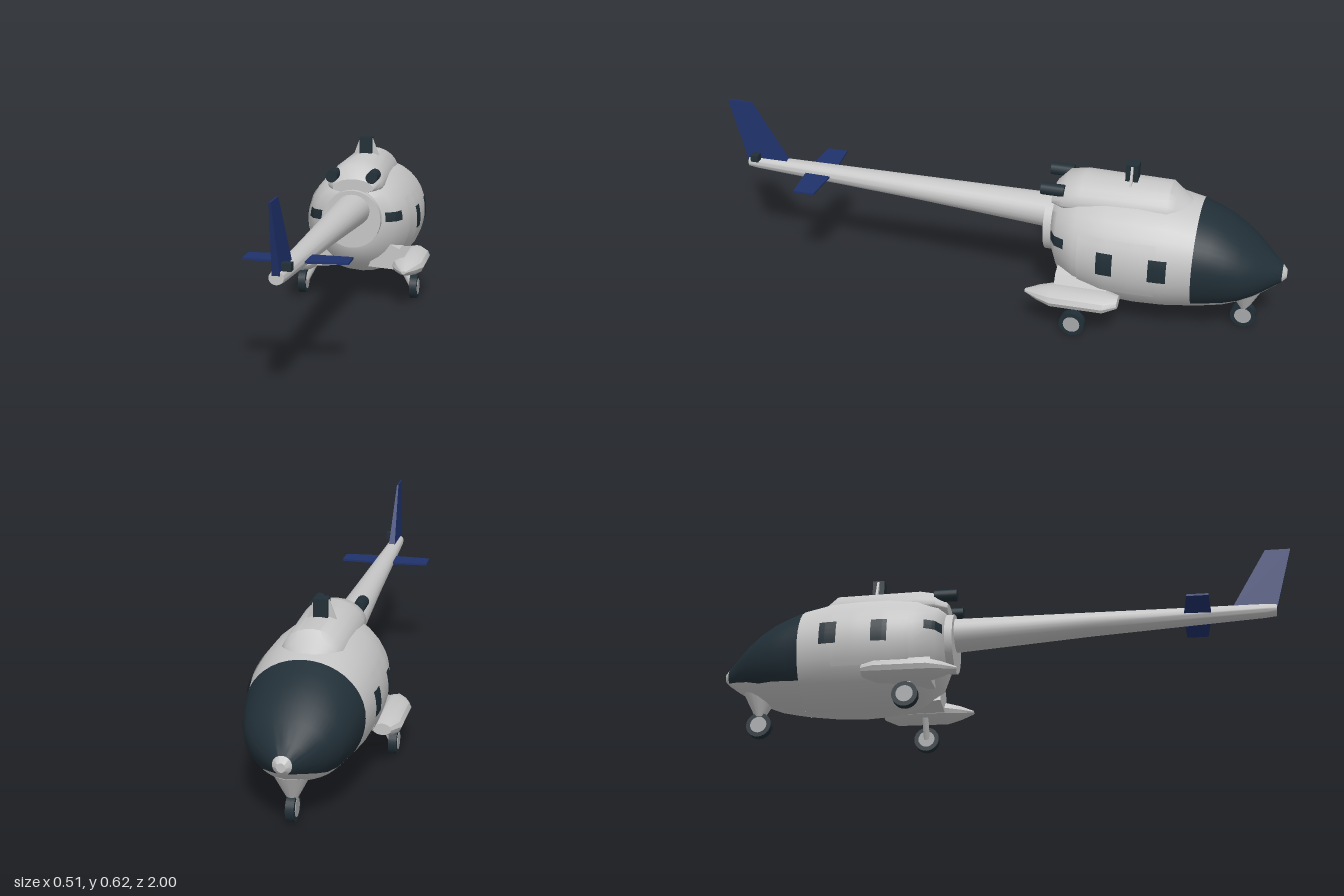
import * as THREE from 'three';
import { toCreasedNormals } from 'three/addons/utils/BufferGeometryUtils.js';

const mat = (name, color, side = THREE.FrontSide) => {
  const m = new THREE.MeshStandardMaterial({ color, side });
  m.name = name;
  return m;
};

export function createModel() {
  const group = new THREE.Group();
  const light = mat('hull grey', 0xc6c6c6, THREE.DoubleSide);
  const dark = mat('dark glass and rubber', 0x212f37, THREE.DoubleSide);
  const blue = mat('tail blue', 0x20326c);
  const hub = mat('hub grey', 0xa6a8aa);

  const add = (name, geometry, material, x = 0, y = 0, z = 0) => {
    const m = new THREE.Mesh(geometry, material);
    m.name = name;
    m.position.set(x, y, z);
    group.add(m);
    return m;
  };

  // Grid surface from a point function, u and v running 0..1
  function grid(nu, nv, point, crease = 0.7) {
    const pos = [], index = [];
    for (let i = 0; i <= nu; i++)
      for (let j = 0; j <= nv; j++) pos.push(...point(i / nu, j / nv, i));
    for (let i = 0; i < nu; i++)
      for (let j = 0; j < nv; j++) {
        const a = i * (nv + 1) + j, c = a + nv + 1;
        index.push(a, a + 1, c, a + 1, c + 1, c);
      }
    const g = new THREE.BufferGeometry();
    g.setAttribute('position', new THREE.Float32BufferAttribute(pos, 3));
    g.setIndex(index);
    return toCreasedNormals(g, crease);
  }

  // Cross-section: [z, half width, bottom y, widest y, top y]
  const ringPoint = ([z, w, yb, ym, yt], a) => {
    const s = Math.sin(a);
    return [w * Math.cos(a), ym + s * (s > 0 ? yt - ym : ym - yb), z];
  };
  // Loft through sections; range gives the start and end angle of each one
  const loft = (secs, sides = 32, range = () => [0, Math.PI * 2], crease = 0.7) =>
    grid(secs.length - 1, sides, (u, v, i) => {
      const [a, b] = range(secs[i]);
      return ringPoint(secs[i], a + (b - a) * v);
    }, crease);
  // Close both ends of a section list with flat caps
  const capped = (secs) => {
    const end = ([z, , , ym]) => [z, 0, ym, ym, ym];
    return [end(secs[0]), ...secs, end(secs[secs.length - 1])];
  };

  // Fuselage
  const hull = [
    [-1.0, 0.014, 0.215, 0.23, 0.245], [-0.985, 0.03, 0.2, 0.232, 0.262],
    [-0.95, 0.068, 0.175, 0.24, 0.29], [-0.9, 0.117, 0.145, 0.25, 0.335],
    [-0.85, 0.15, 0.122, 0.26, 0.375], [-0.8, 0.169, 0.102, 0.27, 0.408],
    [-0.75, 0.18, 0.091, 0.276, 0.432], [-0.7, 0.189, 0.082, 0.28, 0.452],
    [-0.6, 0.203, 0.07, 0.28, 0.475], [-0.5, 0.207, 0.066, 0.28, 0.48],
    [-0.4, 0.204, 0.072, 0.28, 0.48], [-0.3, 0.186, 0.1, 0.29, 0.47],
    [-0.23, 0.15, 0.145, 0.31, 0.445], [-0.205, 0.105, 0.205, 0.315, 0.425],
  ];
  add('noseTip', loft(capped(hull.slice(0, 2)).slice(0, 3)), light);
  add('cabin', loft([...hull.slice(7), [-0.205, 0, 0.315, 0.315, 0.315]]), light);

  // Windscreen and chin share one surface, split along a rising lower edge
  const lowAngle = ([z, , yb, ym]) => {
    const y = z > -0.85 ? 0.16 - (z + 0.85) * 0.087 : 0.16 + (-0.85 - z) * 0.33;
    return Math.asin(Math.max(-1, Math.min(1, (y - ym) / (ym - yb))));
  };
  const front = hull.slice(1, 8);
  add('windscreen', loft(front, 32, (s) => [lowAngle(s), Math.PI - lowAngle(s)]), dark);
  add('chin', loft(front, 16, (s) => [Math.PI - lowAngle(s), Math.PI * 2 + lowAngle(s)]), light);

  // Doors and windows are thin skins following the hull side
  const hullX = (z, y) => {
    let i = 0;
    while (i < hull.length - 2 && hull[i + 1][0] < z) i++;
    const t = (z - hull[i][0]) / (hull[i + 1][0] - hull[i][0]);
    const [, w, yb, ym, yt] = hull[i].map((v, k) => v + (hull[i + 1][k] - v) * t);
    const h = (y - ym) / (y > ym ? yt - ym : ym - yb);
    return w * Math.sqrt(Math.max(0, 1 - h * h));
  };
  const skin = (name, side, z0, z1, y0, y1, off, material) =>
    add(name, grid(16, 10, (u, v) => {
      const z = z0 + (z1 - z0) * u;
      const y = side > 0 ? y0 + (y1 - y0) * v : y1 + (y0 - y1) * v;
      return [side * (hullX(z, y) + off), y, z];
    }), material);
  for (const [label, s] of [['left', 1], ['right', -1]]) {
    skin(label + 'Door', s, -0.58, -0.315, 0.175, 0.375, 0.003, light);
    skin(label + 'FrontWindow', s, -0.62, -0.56, 0.25, 0.332, 0.006, dark);
    skin(label + 'MiddleWindow', s, -0.44, -0.385, 0.25, 0.332, 0.006, dark);
    skin(label + 'RearWindow', s, -0.265, -0.21, 0.305, 0.34, 0.004, dark);
  }

  // Engine cowling
  add('cowling', loft(capped([
    [-0.68, 0.05, 0.4, 0.42, 0.45], [-0.62, 0.088, 0.4, 0.43, 0.492],
    [-0.595, 0.1, 0.4, 0.43, 0.515], [-0.3, 0.105, 0.4, 0.43, 0.518],
    [-0.24, 0.1, 0.4, 0.43, 0.505], [-0.2, 0.075, 0.41, 0.425, 0.46],
  ]), 24), light);

  // Rotor mast with thin side braces
  add('mast', new THREE.BoxGeometry(0.046, 0.07, 0.042), dark, 0, 0.539, -0.46);
  const brace = new THREE.Shape([[-0.048, 0.505], [0.048, 0.505], [0.024, 0.57], [-0.024, 0.57]]
    .map(([x, y]) => new THREE.Vector2(x, y)));
  add('mastBrace', new THREE.ExtrudeGeometry(brace, { depth: 0.008, bevelEnabled: false }), light, 0, 0, -0.465);

  // Tail boom and its round collar
  add('boomCollar', new THREE.CylinderGeometry(0.105, 0.105, 0.06, 36).rotateX(Math.PI / 2), light, 0, 0.317, -0.208);
  add('tailBoom', loft(capped([
    [-0.2, 0.066, 0.29, 0.35, 0.408], [0.3, 0.046, 0.325, 0.366, 0.407],
    [0.9, 0.026, 0.358, 0.382, 0.405], [0.935, 0.023, 0.362, 0.383, 0.403],
  ]), 24), light);

  // Tail fin, tapered from root to tip
  const fin = new THREE.BoxGeometry(1, 1, 1);
  const fp = fin.attributes.position;
  for (let i = 0; i < fp.count; i++) {
    const top = fp.getY(i) > 0, aft = fp.getZ(i) > 0;
    fp.setXYZ(i, Math.sign(fp.getX(i)) * (top ? 0.003 : 0.012), top ? 0.617 : 0.39,
      top ? (aft ? 1.0 : 0.912) : (aft ? 0.938 : 0.782));
  }
  fin.computeVertexNormals();
  add('tailFin', fin, blue);

  // Horizontal stabiliser, narrower at the tips
  const stab = new THREE.BoxGeometry(0.33, 0.007, 0.096, 2, 1, 1);
  const sp = stab.attributes.position;
  for (let i = 0; i < sp.count; i++)
    if (Math.abs(sp.getX(i)) > 0.1) sp.setZ(i, sp.getZ(i) * 0.78);
  stab.computeVertexNormals();
  add('stabiliser', stab, blue, 0, 0.376, 0.665);
  add('tailRotorHub', new THREE.BoxGeometry(0.03, 0.024, 0.028), dark, 0.025, 0.411, 0.903);

  // Wheel: tyre with a hub face on both sides
  const wheel = (name, x, z) => {
    add(name + 'Tyre', new THREE.CylinderGeometry(0.044, 0.044, 0.027, 24).rotateZ(Math.PI / 2), dark, x, 0.044, z);
    add(name + 'Hub', new THREE.CylinderGeometry(0.029, 0.029, 0.03, 20).rotateZ(Math.PI / 2), hub, x, 0.044, z);
  };
  const strut = (name, from, to, r) => {
    const a = new THREE.Vector3(...from), b = new THREE.Vector3(...to);
    const m = add(name, new THREE.CylinderGeometry(r, r, a.distanceTo(b), 10), light);
    m.position.lerpVectors(a, b, 0.5);
    m.quaternion.setFromUnitVectors(new THREE.Vector3(0, 1, 0), b.clone().sub(a).normalize());
  };

  // Sponsons, main gear and exhausts on each side
  const sponson = loft(capped([
    [-0.465, 0.03, 0.125, 0.143, 0.165], [-0.42, 0.056, 0.106, 0.139, 0.173],
    [-0.24, 0.058, 0.104, 0.137, 0.172], [-0.19, 0.036, 0.115, 0.137, 0.16],
    [-0.143, 0.008, 0.131, 0.137, 0.143],
  ]), 12, undefined, 0.5);
  for (const [label, s] of [['left', 1], ['right', -1]]) {
    add(label + 'Sponson', sponson, light, s * 0.196);
    const web = new THREE.Shape([[0.05, 0.13], [0.18, 0.12], [0.185, 0.165], [0.165, 0.2], [0.09, 0.235]]
      .map(([x, y]) => new THREE.Vector2(s * x, y)));
    add(label + 'SponsonFairing', new THREE.ExtrudeGeometry(web, { depth: 0.18, bevelEnabled: false }), light, 0, 0, -0.42);
    strut(label + 'MainStrut', [s * 0.165, 0.115, -0.313], [s * 0.202, 0.045, -0.313], 0.011);
    wheel(label + 'Main', s * 0.21, -0.313);
    add(label + 'Exhaust', new THREE.CylinderGeometry(0.021, 0.021, 0.08, 16).rotateX(Math.PI / 2), dark,
      s * 0.073, 0.473, -0.205);
  }

  // Nose gear under a tapered fairing
  add('noseGearFairing', new THREE.CylinderGeometry(0.06, 0.016, 0.085, 16), light, 0, 0.117, -0.868);
  strut('noseStrut', [0, 0.09, -0.868], [0, 0.05, -0.868], 0.011);
  wheel('nose', 0, -0.868);

  return group;
}
